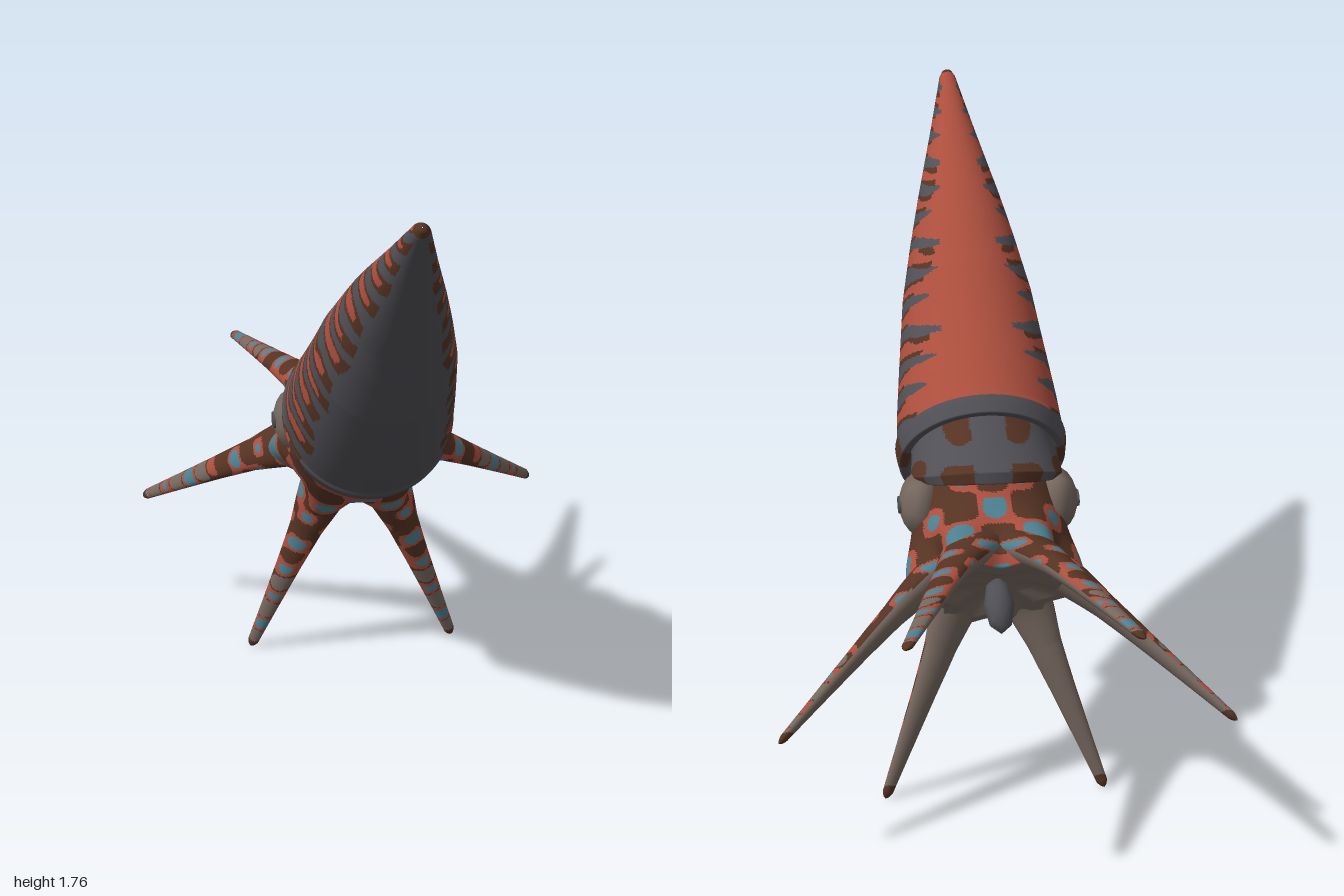
import * as THREE from 'three';
import { ParametricGeometry } from 'three/addons/geometries/ParametricGeometry.js';

const mat = (name, color) => {
  const m = new THREE.MeshStandardMaterial({ color });
  m.name = name;
  return m;
};
const RED = 0, BROWN = 1, GREY = 2, BLUE = 3, TAUPE = 4;
const palette = [
  mat('rust red', 0xab4e3d), mat('dark brown', 0x553323), mat('slate grey', 0x504f55),
  mat('dull blue', 0x4c7f90), mat('taupe', 0x75675e),
];

// Smooth, left-right symmetric patch pattern, roughly -1.5 to 1.5
function patches(p, f, seed) {
  const x = Math.abs(p.x) * f, y = p.y * f, z = p.z * f;
  return (Math.sin(x + 1.4 * Math.sin(y + seed)) + Math.sin(y + 1.4 * Math.sin(z + seed * 2))
    + Math.sin(z + 1.4 * Math.sin(x + seed * 3))) / 2;
}

// Sort triangles into one group per colour, chosen from centre and normal
function paint(geo, choose) {
  const pos = geo.attributes.position, idx = geo.index.array;
  const bins = palette.map(() => []);
  const t = new THREE.Triangle(), c = new THREE.Vector3(), n = new THREE.Vector3();
  for (let i = 0; i < idx.length; i += 3) {
    t.setFromAttributeAndIndices(pos, idx[i], idx[i + 1], idx[i + 2]);
    t.getMidpoint(c);
    t.getNormal(n);
    bins[choose(c, n)].push(idx[i], idx[i + 1], idx[i + 2]);
  }
  geo.setIndex(bins.flat());
  let start = 0;
  bins.forEach((b, k) => {
    if (b.length) geo.addGroup(start, b.length, k);
    start += b.length;
  });
  return geo;
}

function add(parent, name, geo, material) {
  const m = new THREE.Mesh(geo, material);
  m.name = name;
  parent.add(m);
  return m;
}

const profile = (pts) => new THREE.Path(pts.map((p) => new THREE.Vector2(...p)));

// Blue spots ringed with red on brown
const spotColour = (s) => (s > 0.58 ? BLUE : s > 0.08 ? RED : BROWN);

// Long cone with a thick rim; z runs from the opening to the tip
function shell() {
  const path = profile([[0.18, 0.07], [0.21, 0], [0.234, -0.002], [0.24, 0.03], [0.242, 0.055],
    [0.236, 0.065], [0.228, 0.17], [0.214, 0.3], [0.188, 0.53], [0.156, 0.7], [0.118, 0.88],
    [0.068, 1.1], [0.024, 1.305], [0.014, 1.325], [0.001, 1.33]]);
  const geo = new ParametricGeometry((u, v, out) => {
    const q = path.getPoint(v), a = u * Math.PI * 2, k = 1 - q.y / 1.33;
    const y = q.x * Math.sin(a) - 0.014 * Math.sin(Math.min(1, Math.max(0, q.y / 0.8)) * Math.PI);
    out.set(q.x * Math.cos(a), y, q.y + 0.12 * y * k);
  }, 120, 200);
  return paint(geo, (p) => {
    const a = Math.atan2(Math.abs(p.x), p.y + 0.01);
    if (p.z > 1.31) return BROWN;
    const w = patches(p, 24, 1.3);
    if (p.z - 0.12 * p.y < 0.05) return a > 1.3 && a < 2.2 && w > 0.2 ? BROWN : GREY;
    if (a + 0.12 * w > 2.2) return GREY;
    if (a < 0.5) return RED;
    const band = Math.sin(p.z * 62 - a * 2.2 + w * 0.9) + 0.25 * w;
    if (band > 1.1 - THREE.MathUtils.smoothstep(a, 0.5, 1.2) * 0.9) return GREY;
    const edge = a + 0.3 * w;
    if (edge < 1) return RED;
    return edge < 1.8 && band < -0.35 - 0.5 * (edge - 1) ? RED : BROWN;
  });
}

// Head, broad at the eyes, opening into a six-lobed web with a shallow mouth face
function head() {
  const path = profile([[0.001, -0.41], [0.08, -0.42], [0.15, -0.442], [0.195, -0.44],
    [0.215, -0.405], [0.208, -0.33], [0.193, -0.18], [0.196, -0.05], [0.19, 0.08]]);
  const geo = new ParametricGeometry((u, v, out) => {
    const q = path.getPoint(v), a = u * Math.PI * 2;
    const s = THREE.MathUtils.smoothstep(-q.y, 0.2, 0.42);
    const broad = Math.sin(Math.PI * THREE.MathUtils.clamp(-q.y / 0.38, 0, 1));
    const r = q.x * (1 + 0.16 * s * Math.cos(6 * a));
    out.set(r * Math.cos(a) * (1 + 0.09 * broad),
      r * Math.sin(a) * (1 - 0.04 * broad) + 0.06 * s + 0.008 * broad, q.y);
  }, 144, 110);
  return paint(geo, (p, n) => {
    if (n.z < -0.6) return TAUPE;
    const a = Math.atan2(p.y - 0.03, p.x);
    const s = Math.cos(6 * a) * Math.cos((p.z + 0.35) * 31) + 0.3 * patches(p, 34, 2.1);
    return spotColour(s);
  });
}

// Flattened tapering arm leaning outward at angle phi; the inner side is plain
function arm(phi, reach, depth, bend) {
  const path = new THREE.SplineCurve([[0.13, -0.365], [0.2, -0.41], [0.33, -bend], [reach, -depth]]
    .map((p) => new THREE.Vector2(...p)));
  const radial = new THREE.Vector3(Math.cos(phi), Math.sin(phi), 0);
  const T = new THREE.Vector3(), N = new THREE.Vector3(), B = new THREE.Vector3();
  const width = profile([[0, 0.085], [0.15, 0.068], [0.3, 0.05], [0.5, 0.038], [0.75, 0.026], [1, 0.015]]);
  const geo = new ParametricGeometry((u, v, out) => {
    const q = path.getPointAt(v), t = path.getTangentAt(v), a = u * Math.PI * 2;
    T.copy(radial).multiplyScalar(t.x).setZ(t.y);
    N.copy(radial).multiplyScalar(t.y).setZ(-t.x);
    B.crossVectors(T, N);
    const R = width.getPoint(v).y * Math.sqrt(Math.max(0.002, Math.min(1, (1 - v) / 0.03)));
    out.copy(radial).multiplyScalar(q.x).setZ(q.y);
    out.y += 0.07;
    out.addScaledVector(N, 0.65 * R * Math.cos(a)).addScaledVector(B, R * Math.sin(a));
  }, 36, 120);
  const inner = radial.clone().multiplyScalar(-0.74).setZ(-0.67);
  return paint(geo, (p, n) => {
    if (p.z < 0.025 - depth) return BROWN;
    if (n.dot(inner) > 0.12) return TAUPE;
    const side = (p.y - 0.07) * Math.cos(phi) - p.x * Math.sin(phi);
    const s = Math.cos((p.z + 0.35) * 78) * Math.cos(side * 42) + 0.35 * patches(p, 46, 2.1);
    return p.z < -0.6 && s < 0.9 * (-p.z - 0.8) ? TAUPE : spotColour(s);
  });
}

// Wedge-shaped hood over the top of the head
function hood() {
  const path = profile([[0.19, -0.15], [0.232, -0.195], [0.254, -0.172], [0.205, 0.06]]);
  const geo = new ParametricGeometry((u, v, out) => {
    const q = path.getPoint(v), e = Math.abs(u - 0.5) * 2;
    const a = Math.PI / 2 + (u - 0.5) * 2 * 1.5;
    const r = THREE.MathUtils.lerp(q.x, 0.2, e * e * e);
    out.set(r * Math.cos(a), r * Math.sin(a), q.y < 0 ? q.y * (1 - 0.75 * e * e) : q.y);
  }, 70, 50);
  return paint(geo, (p) => (Math.abs(p.x) > 0.05 && patches(p, 30, 4.0) > 0.1 ? BROWN : GREY));
}

export function createModel() {
  const model = new THREE.Group();
  model.name = 'coneShelledCephalopod';
  const tilt = 0.719;
  const body = new THREE.Group();
  body.name = 'body';
  body.position.set(0, 0.88, 0);
  body.rotation.x = -tilt;
  model.add(body);

  add(body, 'shell', shell(), palette);
  add(body, 'head', head(), palette);
  add(body, 'hood', hood(), palette);
  // Side, upper and lower arms: angle, reach, depth and bend
  const arms = {
    sideArm: [0, 0.61, 0.845, 0.54],
    upperArm: [1.047, 0.595, 0.81, 0.53],
    lowerArm: [-1.017, 0.59, 0.835, 0.555],
  };
  for (const [name, [phi, ...shape]] of Object.entries(arms)) {
    add(body, name + 'Left', arm(phi, ...shape), palette);
    add(body, name + 'Right', arm(Math.PI - phi, ...shape), palette);
  }

  // Beak in the middle of the mouth face
  const beak = add(body, 'beak', new THREE.SphereGeometry(1, 8, 6), palette[GREY]);
  beak.scale.set(0.042, 0.045, 0.085);
  beak.position.set(0, 0.085, -0.485);

  // Low six-sided eyes with flat pupils
  for (const s of [1, -1]) {
    const eye = new THREE.Group();
    eye.name = s > 0 ? 'leftEye' : 'rightEye';
    eye.position.set(s * 0.188, 0.06, -0.16);
    eye.rotation.z = -s * Math.PI / 2;
    body.add(eye);
    const ball = new THREE.SphereGeometry(1, 6, 10);
    ball.rotateY(Math.PI / 2 + s * tilt);
    add(eye, 'eyeball', ball, palette[TAUPE]).scale.set(0.09, 0.06, 0.09);
    const pupil = add(eye, 'pupil', new THREE.CylinderGeometry(0.034, 0.034, 0.009, 8), palette[GREY]);
    pupil.scale.x = 0.65;
    pupil.rotation.y = s * tilt;
    pupil.position.y = 0.058;
  }
  return model;
}
